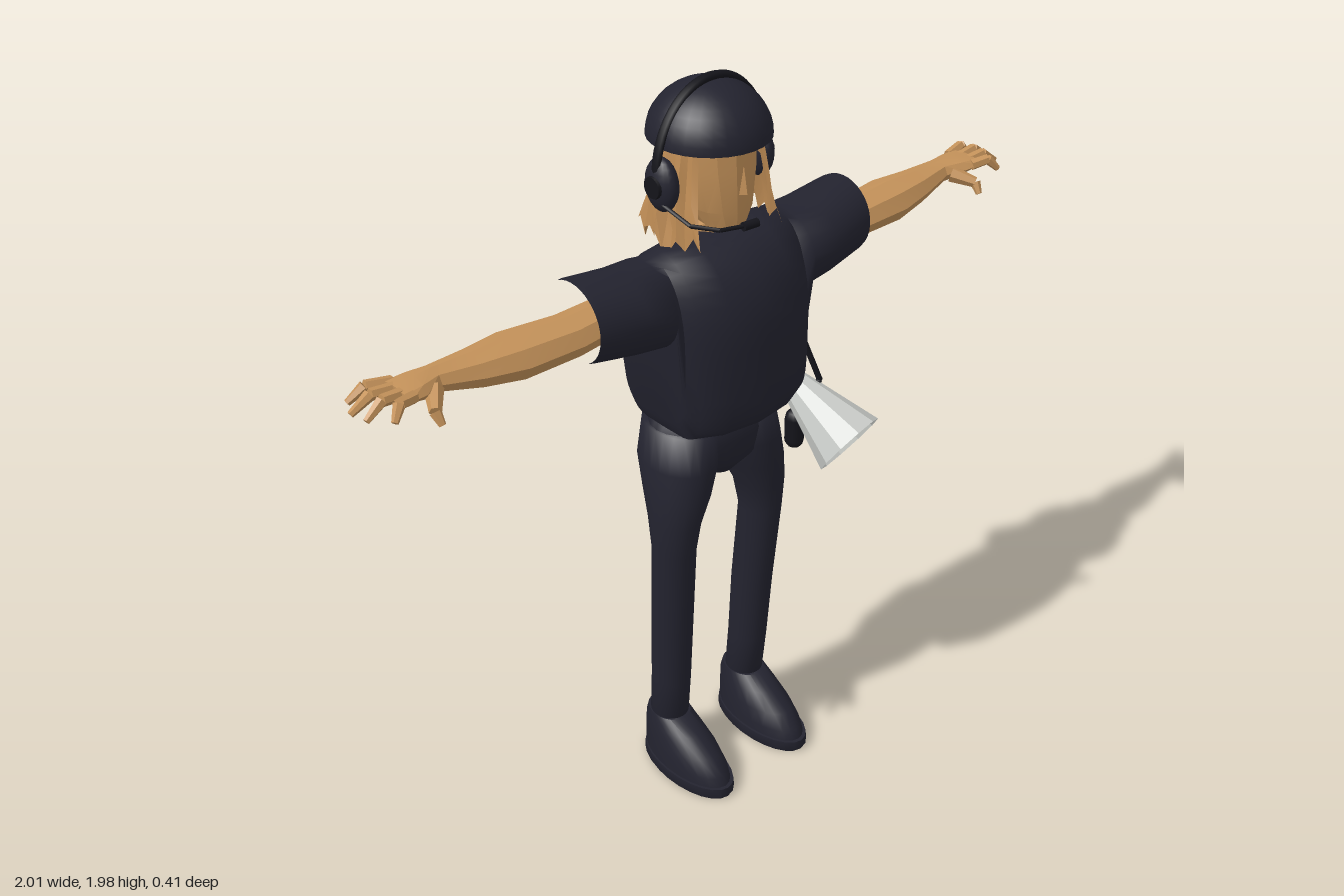
import * as THREE from 'three';
import { toCreasedNormals } from 'three/addons/utils/BufferGeometryUtils.js';

const mat = (name, color, side = THREE.FrontSide) => {
  const m = new THREE.MeshStandardMaterial({ color, side });
  m.name = name;
  return m;
};

// Loft along y. Section: [y, cx, cz, rx, rz, power on +x half, power on -x half].
// caps: 1 = bottom, 2 = top, 3 = both.
function loft(secs, n = 24, caps = 3) {
  const pos = [], idx = [];
  const pw = (v, p) => Math.sign(v) * Math.abs(v) ** (2 / p);
  for (const [t, cx, cz, rx, rz, p = 2, q = p] of secs) {
    for (let i = 0; i < n; i++) {
      const a = (i / n) * Math.PI * 2, c = Math.cos(a), e = c > 0 ? p : q;
      pos.push(cx + rx * pw(c, e), t, cz + rz * pw(Math.sin(a), e));
    }
  }
  for (let j = 0; j < secs.length - 1; j++) {
    for (let i = 0; i < n; i++) {
      const a = j * n + i, b = j * n + ((i + 1) % n);
      idx.push(a, a + n, b, b, a + n, b + n);
    }
  }
  const cap = (s, base, top) => {
    const c = pos.length / 3;
    pos.push(s[1], s[0], s[2]);
    for (let i = 0; i < n; i++) {
      const a = base + i, b = base + ((i + 1) % n);
      idx.push(c, top ? b : a, top ? a : b);
    }
  };
  if (caps & 1) cap(secs[0], 0, false);
  if (caps & 2) cap(secs[secs.length - 1], (secs.length - 1) * n, true);
  const g = new THREE.BufferGeometry();
  g.setAttribute('position', new THREE.Float32BufferAttribute(pos, 3));
  g.setIndex(idx);
  g.computeVertexNormals();
  return g;
}

// Loft along x. Section: [x, cy, cz, ry, rz, power below, power above].
const loftX = (secs, n, caps) =>
  loft(secs.map(([t, a, ...r]) => [t, -a, ...r]), n, caps).rotateZ(-Math.PI / 2);

const crease = (g, a = 0.7) => toCreasedNormals(g, a);

// Mirror across x, keeping faces outward
function mirror(geo) {
  const g = geo.index ? geo.toNonIndexed() : geo.clone();
  g.scale(-1, 1, 1);
  for (const at of Object.values(g.attributes)) {
    const k = at.itemSize, arr = at.array;
    for (let i = 0; i < at.count; i += 3) {
      for (let c = 0; c < k; c++) {
        const u = (i + 1) * k + c, v = (i + 2) * k + c;
        [arr[u], arr[v]] = [arr[v], arr[u]];
      }
    }
  }
  return g;
}

// Tapered rod from point a to point b
function rod(a, b, ra, rb, n = 6, open = false) {
  const A = new THREE.Vector3(...a), d = new THREE.Vector3(...b).sub(A);
  const g = new THREE.CylinderGeometry(rb, ra, d.length(), n, 1, open);
  g.translate(0, d.length() / 2, 0);
  g.applyQuaternion(new THREE.Quaternion().setFromUnitVectors(
    new THREE.Vector3(0, 1, 0), d.clone().normalize()));
  return g.translate(A.x, A.y, A.z);
}

// Wavy hair shell around the back and sides, with a jagged lower edge
function hairGeometry() {
  const cols = 36, rows = 6, pos = [], idx = [];
  for (let j = 0; j <= rows; j++) {
    const t = j / rows;
    for (let i = 0; i <= cols; i++) {
      const a = (i / cols - 0.5) * 4.4;
      const ridge = 1 + 0.04 * Math.sin(i * 2.1 + t * 2) + 0.03 * Math.sin(t * 9 + i) * t;
      const bottom = 1.615 + 0.02 * Math.sin(i * 2.4) + 0.012 * Math.sin(i * 1.1);
      pos.push((0.112 + 0.04 * t) * ridge * Math.sin(a),
        1.87 + (bottom - 1.87) * t,
        -0.015 - (0.115 + 0.06 * t * t) * ridge * Math.cos(a));
      if (j < rows && i < cols) {
        const p = j * (cols + 1) + i, q = p + cols + 1;
        idx.push(p, p + 1, q, p + 1, q + 1, q);
      }
    }
  }
  const g = new THREE.BufferGeometry();
  g.setAttribute('position', new THREE.Float32BufferAttribute(pos, 3));
  g.setIndex(idx);
  return crease(g, 0.3);
}

export function createModel() {
  const root = new THREE.Group();
  const navy = mat('navy cloth', 0x23232f);
  const black = mat('black plastic', 0x14141a);
  const tan = mat('tan skin', 0xc4925a);
  const hairTan = mat('tan hair', 0xbd8b54, THREE.DoubleSide);
  const grey = mat('light grey', 0xc9ccc8, THREE.DoubleSide);
  const add = (name, geo, m) => {
    const mesh = new THREE.Mesh(geo, m);
    mesh.name = name;
    root.add(mesh);
  };
  const pair = (name, geo, m) => {
    add('left' + name, geo, m);
    add('right' + name, mirror(geo), m);
  };

  // Shirt: one sleeve-to-sleeve shell, open at the cuffs
  const half = [
    [0.43, 1.51, 0, 0.1, 0.1], [0.415, 1.508, 0, 0.102, 0.104],
    [0.3, 1.492, 0.005, 0.104, 0.115], [0.22, 1.482, 0, 0.108, 0.12],
    [0.197, 1.38, 0, 0.212, 0.115, 4, 2.2], [0.175, 1.365, 0.01, 0.238, 0.135, 5, 2.2],
    [0.1, 1.365, 0.018, 0.245, 0.162, 5, 2.2]];
  add('shirt', crease(loftX([
    ...half.map(([x, ...r]) => [-x, ...r]), [0, 1.365, 0.02, 0.25, 0.17, 5, 2.2],
    ...half.slice().reverse()], 36, 0), 0.9), navy);

  // Trousers
  add('hips', loft([
    [0.94, 0, -0.02, 0.05, 0.07], [0.99, 0, -0.028, 0.14, 0.118],
    [1.06, 0, -0.03, 0.178, 0.128], [1.15, 0, -0.02, 0.165, 0.115]]), navy);
  pair('Leg', loft([
    [0.15, 0.14, -0.035, 0.05, 0.055], [0.3, 0.142, -0.022, 0.051, 0.057],
    [0.5, 0.145, -0.01, 0.053, 0.06], [0.75, 0.152, 0.01, 0.055, 0.062],
    [0.84, 0.146, 0.008, 0.064, 0.075], [0.92, 0.127, -0.004, 0.08, 0.098],
    [1, 0.108, -0.022, 0.09, 0.118], [1.1, 0.09, -0.025, 0.088, 0.115]]), navy);

  // Shoes
  pair('ShoeSole', crease(loft([
    [0, 0.14, 0.045, 0.076, 0.16], [0.008, 0.14, 0.045, 0.08, 0.165],
    [0.034, 0.14, 0.045, 0.078, 0.163]])), navy);
  pair('Shoe', crease(loft([
    [0.03, 0.14, 0.042, 0.073, 0.157], [0.06, 0.14, 0.036, 0.072, 0.152],
    [0.1, 0.14, 0.018, 0.068, 0.132], [0.14, 0.14, -0.012, 0.06, 0.1],
    [0.172, 0.14, -0.035, 0.052, 0.066]])), navy);

  // Arms and hands
  pair('Arm', crease(loftX([
    [0.34, 1.49, 0, 0.045, 0.06], [0.45, 1.486, 0.005, 0.047, 0.066],
    [0.6, 1.488, -0.004, 0.052, 0.074], [0.7, 1.495, -0.005, 0.042, 0.056],
    [0.8, 1.508, -0.008, 0.029, 0.037], [0.85, 1.514, 0, 0.025, 0.05],
    [0.9, 1.518, 0.002, 0.016, 0.056]], 8, 2), 0.2), tan);
  const fingers = [[-0.04, -0.06, 0.98], [-0.012, -0.015, 1], [0.016, 0.03, 0.99], [0.042, 0.075, 0.95]];
  fingers.forEach(([z0, z1, x], k) => {
    const mid = [(0.88 + x) / 2 + 0.01, 1.527, (z0 + z1) / 2];
    pair('Finger' + k, crease(rod([0.88, 1.518, z0], mid, 0.015, 0.014), 0.2), tan);
    pair('FingerTip' + k, crease(rod(mid, [x, 1.498, z1], 0.014, 0.008), 0.2), tan);
  });
  pair('Thumb', crease(rod([0.82, 1.505, 0.025], [0.855, 1.488, 0.08], 0.022, 0.014), 0.2), tan);
  pair('ThumbTip', crease(rod([0.855, 1.488, 0.08], [0.852, 1.462, 0.098], 0.014, 0.008), 0.2), tan);

  // Head, nose and hair
  add('head', crease(loft([
    [1.55, 0, -0.03, 0.055, 0.06], [1.62, 0, -0.02, 0.052, 0.062],
    [1.635, 0, 0.02, 0.048, 0.068], [1.68, 0, 0.008, 0.074, 0.09],
    [1.78, 0, -0.008, 0.095, 0.108], [1.88, 0, -0.02, 0.1, 0.115]], 14), 0.4), tan);
  add('nose', crease(rod([0, 1.725, 0.094], [0, 1.79, 0.092], 0.016, 0.006, 4), 0.2), tan);
  add('hair', hairGeometry(), hairTan);

  // Cap
  const dome = new THREE.SphereGeometry(1, 28, 10, 0, Math.PI * 2, 0, Math.PI / 2);
  add('cap', dome.scale(0.147, 0.13, 0.15).translate(0, 1.838, -0.02), navy);
  add('capUnderside', new THREE.CircleGeometry(1, 28).rotateX(Math.PI / 2)
    .scale(0.147, 1, 0.15).translate(0, 1.838, -0.02), navy);

  // Headset
  add('headband', new THREE.TorusGeometry(0.165, 0.009, 8, 32, Math.PI)
    .scale(1, 1.19, 1.4).translate(0, 1.777, -0.015), black);
  pair('EarCup', new THREE.SphereGeometry(1, 18, 12)
    .scale(0.03, 0.066, 0.05).translate(0.148, 1.755, -0.015), navy);
  pair('EarPlate', rod([0.15, 1.755, -0.015], [0.18, 1.755, -0.015], 0.034, 0.026, 16), black);
  const boom = [[-0.165, 1.72, -0.01], [-0.155, 1.69, 0.09], [-0.12, 1.69, 0.15], [-0.05, 1.687, 0.168]];
  for (let i = 0; i < 3; i++) add('micBoom' + i, rod(boom[i], boom[i + 1], 0.005, 0.005), black);
  add('microphone', rod([-0.065, 1.687, 0.166], [-0.025, 1.687, 0.17], 0.011, 0.011, 10), black);

  // Megaphone hanging at the left side, with bracket and grip
  add('megaphoneHorn', crease(rod([0.315, 1.035, -0.035], [0.35, 0.912, 0.142], 0.04, 0.101, 10, true), 0.2), grey);
  const bar = [[0.235, 1.165, -0.022], [0.335, 1.155, -0.02], [0.365, 1.045, 0.01], [0.335, 1.03, 0.005]];
  for (let i = 0; i < 3; i++) add('bracket' + i, rod(bar[i], bar[i + 1], 0.008, 0.008, 8), black);
  add('grip', new THREE.CapsuleGeometry(0.027, 0.065, 4, 10).translate(0.3, 0.91, -0.015), black);
  return root;
}
